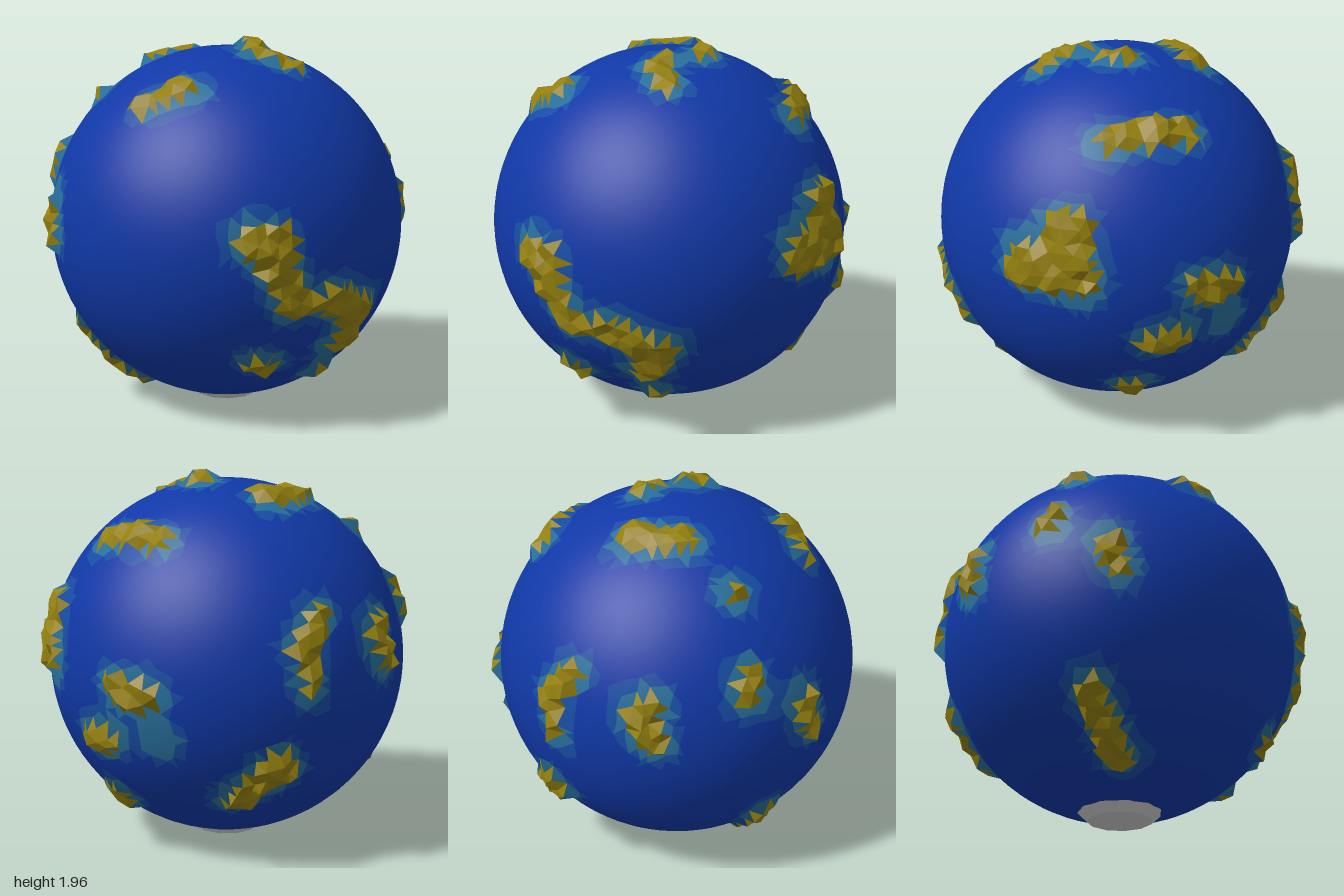
import * as THREE from 'three';
import { mergeVertices } from 'three/addons/utils/BufferGeometryUtils.js';

const R = 0.95;
const CENTRE = new THREE.Vector3(-0.01, 0.97, -0.02);

const hash = n => {
  const s = Math.sin(n * 127.1 + 3.7) * 43758.5453;
  return s - Math.floor(s);
};

// Returns a drawing function for one side of the globe, seen from an azimuth and elevation in degrees.
// A stroke is a half-width followed by the u, v points of the island's spine, measured from the globe's centre.
function chart(azimuth, elevation) {
  const turn = new THREE.Euler(
    THREE.MathUtils.degToRad(-elevation), THREE.MathUtils.degToRad(azimuth), 0, 'YXZ');
  return (width, ...uv) => {
    const spine = [];
    for (let i = 0; i < uv.length; i += 2) {
      const [u, v] = [uv[i], uv[i + 1]];
      const w = Math.sqrt(Math.max(0, R * R - u * u - v * v));
      spine.push(new THREE.Vector3(u, v, w).applyEuler(turn).normalize());
    }
    // Walk along the spine in short steps
    const blobs = [{ dir: spine[0], width }];
    for (let i = 1; i < spine.length; i++) {
      for (let k = 1; k <= 5; k++) {
        blobs.push({ dir: spine[i - 1].clone().lerp(spine[i], k / 5).normalize(), width });
      }
    }
    return blobs;
  };
}

function createIslands() {
  const front = chart(0, 0), right = chart(90, 0), top = chart(0, 90);
  const backLeft = chart(215, 30), backRight = chart(145, -30);
  return [
    front(0.08, 0.04, 0.08, 0.17, 0.08, 0.17, -0.09, 0.27, -0.25),
    front(0.085, 0.47, -0.24, 0.65, -0.35, 0.52, -0.5),
    front(0.06, 0.07, -0.57, 0.15, -0.59),
    front(0.06, 0.43, -0.71),
    front(0.08, -0.43, 0.68, -0.25, 0.76),
    front(0.07, -0.91, 0.17, -0.91, -0.01),
    front(0.08, -0.77, -0.55, -0.49, -0.8),
    right(0.13, 0.05, 0.1, 0.29, 0.08, 0.23, 0.27),
    right(0.08, 0.39, -0.66),
    top(0.06, 0.13, -0.12, 0.14, -0.22, 0.3, -0.28),
    top(0.06, 0.12, 0.14, 0.19, 0.04),
    top(0.09, -0.35, 0.16, -0.2, 0.35),
    top(0.075, 0.34, 0.58, 0.62, 0.29),
    top(0.06, -0.65, 0.05),
    backLeft(0.06, -0.11, -0.15, -0.21, -0.27, -0.2, -0.47),
    backLeft(0.08, 0.3, -0.22, 0.23, -0.27, 0.32, -0.38),
    backLeft(0.07, 0.66, 0.02, 0.69, -0.07),
    backLeft(0.08, -0.31, -0.73, -0.39, -0.81),
    backRight(0.08, -0.02, 0.46, 0.15, 0.45),
    backRight(0.08, -0.2, 0.18, -0.1, 0.21),
    backRight(0.06, 0.2, 0.22),
    backRight(0.07, -0.21, -0.23),
    backRight(0.07, 0.44, -0.21, 0.68, -0.11),
  ].flat();
}

export function createModel() {
  const globe = new THREE.Group();
  globe.name = 'globe';
  const blobs = createIslands();

  // Irregular sphere shared by sea, shallows and land
  const base = new THREE.IcosahedronGeometry(1, 16);
  base.deleteAttribute('normal');
  base.deleteAttribute('uv');
  const sphere = mergeVertices(base, 1e-4);
  const pos = sphere.attributes.position;
  const points = [];
  for (let i = 0; i < pos.count; i++) {
    const jitter = new THREE.Vector3(hash(i), hash(i + 0.31), hash(i + 0.67)).subScalar(0.5);
    const dir = new THREE.Vector3().fromBufferAttribute(pos, i).addScaledVector(jitter, 0.03).normalize();
    // Distance to the nearest coast, negative on land
    const coast = Math.min(...blobs.map(b => R * dir.angleTo(b.dir) - b.width));
    const height = coast < 0 ? 0.022 + 0.04 * hash(i + 0.11) : 0;
    // The shelf of shallow water is wider in some places than in others
    const shelf = 0.03 * Math.sin(6 * dir.x + 2) * Math.sin(7 * dir.y) * Math.sin(6 * dir.z + 1);
    points.push({ dir, height, depth: coast - shelf, place: dir.clone().multiplyScalar(R + height) });
  }

  // Sort the triangles into bands by height and depth
  const bands = {
    ocean: { color: 0x1038a6, places: [], normals: [] },
    outerShallows: { color: 0x174da3, places: [], normals: [] },
    innerShallows: { color: 0x286f9b, places: [], normals: [] },
    land: { color: 0x94800f, places: [], normals: [] },
  };
  for (let t = 0; t < sphere.index.count; t += 3) {
    const tri = [0, 1, 2].map(k => points[sphere.index.getX(t + k)]);
    const raised = tri.filter(c => c.height > 0).length;
    const depth = (tri[0].depth + tri[1].depth + tri[2].depth) / 3;
    const band = bands[raised >= 2 ? 'land'
      : depth < 0.035 ? 'innerShallows'
      : depth < 0.075 ? 'outerShallows' : 'ocean'];
    for (const corner of tri) {
      band.places.push(...corner.place);
      band.normals.push(...corner.dir);
    }
  }

  for (const [name, band] of Object.entries(bands)) {
    const geometry = new THREE.BufferGeometry();
    geometry.setAttribute('position', new THREE.Float32BufferAttribute(band.places, 3));
    geometry.setAttribute('normal', new THREE.Float32BufferAttribute(band.normals, 3));
    const material = new THREE.MeshStandardMaterial({ color: band.color, flatShading: name === 'land' });
    const mesh = new THREE.Mesh(geometry, material);
    mesh.name = name;
    mesh.position.copy(CENTRE);
    globe.add(mesh);
  }

  // Ice cap under the south pole
  const ice = new THREE.Mesh(
    new THREE.CylinderGeometry(0.22, 0.17, 0.045, 11),
    new THREE.MeshStandardMaterial({ color: 0xcccccc, flatShading: true }),
  );
  ice.name = 'iceCap';
  ice.position.set(CENTRE.x, 0.0225, CENTRE.z);
  globe.add(ice);

  return globe;
}
